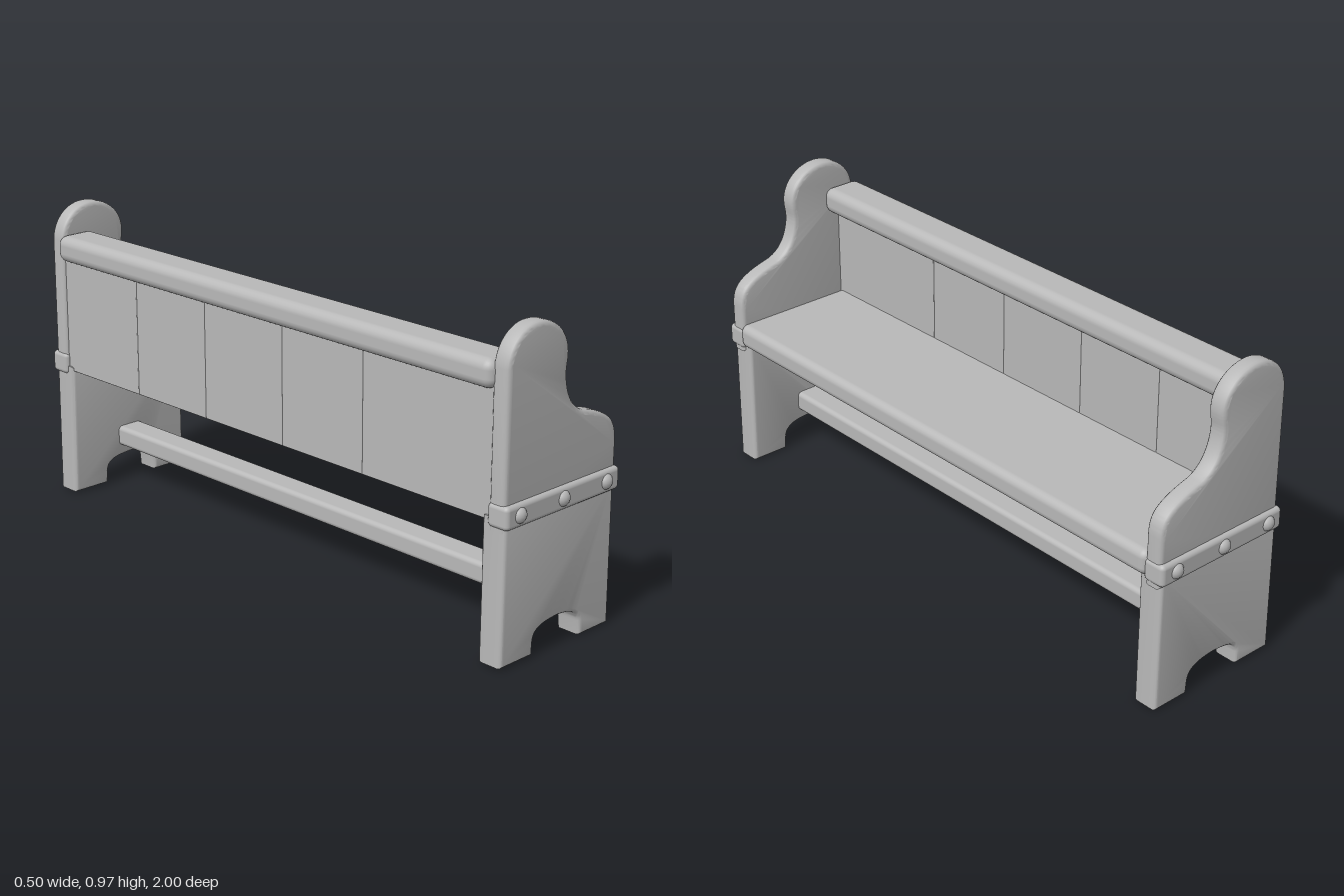
import * as THREE from 'three';
import { toCreasedNormals } from 'three/addons/utils/BufferGeometryUtils.js';
import { RoundedBoxGeometry } from 'three/addons/geometries/RoundedBoxGeometry.js';

const wood = new THREE.MeshStandardMaterial({ color: 0xb8b8b8 });
wood.name = 'pale wood';

function add(parent, name, geometry) {
  const mesh = new THREE.Mesh(geometry, wood);
  mesh.name = name;
  parent.add(mesh);
  return mesh;
}

// Soft-edged bar given by its limits; wobble gives the long faces a hand-hewn wave
function bar(parent, name, [x0, x1], [y0, y1], [z0, z1], radius) {
  const geometry = new RoundedBoxGeometry(x1 - x0, y1 - y0, z1 - z0, 3, radius);
  geometry.translate((x0 + x1) / 2, (y0 + y1) / 2, (z0 + z1) / 2);
  return add(parent, name, geometry);
}

// Board with a cut outline and rounded edges, between two depths
function board(parent, name, shape, z0, z1, bevel) {
  const geometry = new THREE.ExtrudeGeometry(shape, {
    depth: z1 - z0 - 2 * bevel, curveSegments: 14,
    bevelEnabled: true, bevelThickness: bevel, bevelSize: bevel, bevelOffset: -bevel, bevelSegments: 3,
  });
  geometry.translate(0, 0, z0 + bevel);
  return add(parent, name, toCreasedNormals(geometry, 0.7));
}

// Upper end panel: round head, hollow neck, sloping arm
function upperShape() {
  const s = new THREE.Shape();
  s.moveTo(-0.23, 0.4);
  s.lineTo(-0.23, 0.86);
  s.bezierCurveTo(-0.225, 0.925, -0.175, 0.97, -0.11, 0.97);
  s.bezierCurveTo(-0.04, 0.97, 0.018, 0.92, 0.018, 0.86);
  s.bezierCurveTo(0.018, 0.83, 0.01, 0.82, 0.013, 0.79);
  s.bezierCurveTo(0.02, 0.735, 0.045, 0.695, 0.09, 0.678);
  s.bezierCurveTo(0.13, 0.668, 0.17, 0.656, 0.2, 0.636);
  s.bezierCurveTo(0.23, 0.615, 0.238, 0.59, 0.238, 0.55);
  s.lineTo(0.238, 0.4);
  s.closePath();
  return s;
}

// Lower end panel: two feet with an arched cut between them
function lowerShape() {
  const s = new THREE.Shape();
  s.moveTo(-0.23, 0.005);
  s.lineTo(-0.228, 0.44);
  s.lineTo(0.232, 0.44);
  s.lineTo(0.235, 0.0);
  s.lineTo(0.108, 0.0);
  s.lineTo(0.104, 0.045);
  s.bezierCurveTo(0.1, 0.085, 0.05, 0.09, 0.005, 0.092);
  s.bezierCurveTo(-0.05, 0.088, -0.092, 0.085, -0.094, 0.045);
  s.lineTo(-0.096, 0.005);
  s.closePath();
  return s;
}

export function createModel() {
  const bench = new THREE.Group();
  bench.name = 'bench';

  // Ends, one at each side
  for (const side of [1, -1]) {
    const end = new THREE.Group();
    end.name = side > 0 ? 'frontEnd' : 'backEnd';
    const span = (a, b) => (side > 0 ? [a, b] : [-b, -a]);
    board(end, 'upperEndPanel', upperShape(), ...span(0.913, 0.972), 0.014);
    board(end, 'lowerEndPanel', lowerShape(), ...span(0.89, 0.974), 0.012);
    bar(end, 'endBand', [-0.236, 0.243], [0.412, 0.482], span(0.912, 0.986), 0.014);
    // Pegs through the band
    for (const x of [-0.18, 0.0, 0.185]) {
      const peg = add(end, 'peg', new THREE.SphereGeometry(0.024, 14, 10));
      peg.scale.z = 0.85;
      peg.position.set(x, 0.448, side * 0.98);
    }
    bench.add(end);
  }

  // Seat plank with a rounded front edge
  bar(bench, 'seat', [-0.215, 0.248], [0.42, 0.5], [-0.925, 0.925], 0.025);

  // Backrest made of upright boards with fine seams
  const seams = [-0.92, -0.56, -0.24, 0.1, 0.43, 0.92];
  for (let i = 0; i < seams.length - 1; i++) {
    bar(bench, 'backBoard', [-0.222, -0.165], [0.425, 0.83], [seams[i], seams[i + 1]], 0.003);
  }

  // Top rail over the backrest
  bar(bench, 'topRail', [-0.25, -0.112], [0.795, 0.88], [-0.925, 0.925], 0.03);

  // Stretcher between the legs
  bar(bench, 'stretcher', [-0.045, 0.05], [0.125, 0.192], [-0.91, 0.91], 0.015);

  return bench;
}
